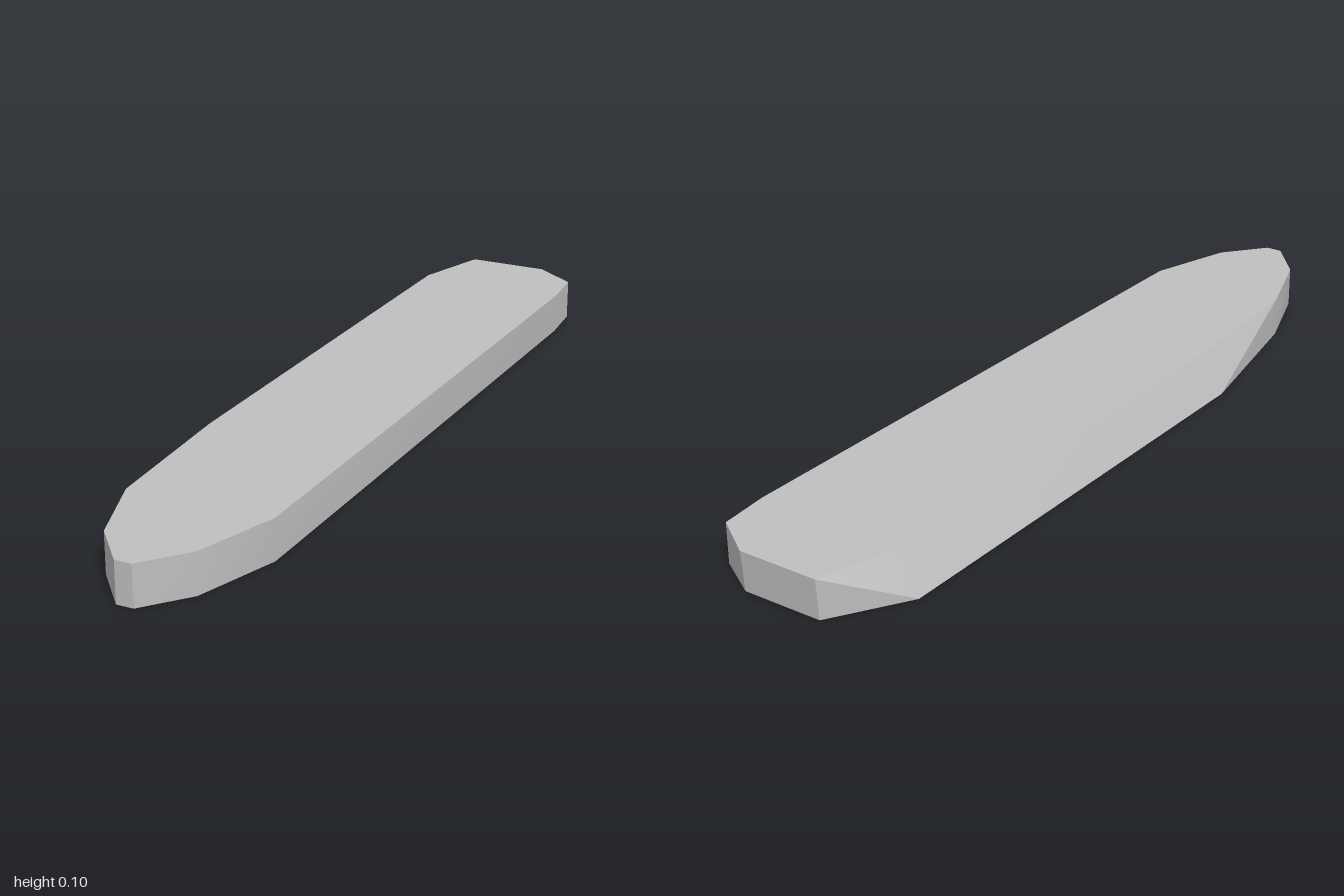
import * as THREE from 'three';
import { toCreasedNormals } from 'three/addons/utils/BufferGeometryUtils.js';

export function createModel() {
  const grey = new THREE.MeshStandardMaterial({ color: 0xbfbfbf });
  grey.name = 'plainGrey';
  const height = 0.097;

  // Plan outline as [x, z, outward flare of the foot in x]
  const outline = [
    [-0.085, -1, 0], [0.11, -1, 0], [0.212, -0.93, 0], [0.221, -0.81, 0],
    [0.187, 0.7, 0], [0.12, 0.9, 0], [0.035, 1, 0], [-0.005, 1, 0],
    [-0.09, 0.9, 0], [-0.155, 0.71, 0], [-0.17, 0.33, -0.051], [-0.145, -0.82, -0.052],
  ];
  const n = outline.length;
  const top = outline.map(([x, z]) => [x, height, z]);
  const bottom = outline.map(([x, z, flare]) => [x + flare, 0, Math.max(z, -0.993)]);

  const positions = [];
  const tri = (a, b, c) => positions.push(...a, ...b, ...c);

  // Side walls, with the last one folded along its other diagonal
  for (let i = 0; i < n; i++) {
    const j = (i + 1) % n;
    if (i === n - 1) {
      tri(bottom[i], top[i], top[j]);
      tri(bottom[i], top[j], bottom[j]);
    } else {
      tri(bottom[i], top[i], bottom[j]);
      tri(top[i], top[j], bottom[j]);
    }
  }
  // Flat deck and underside
  for (let i = 1; i < n - 1; i++) {
    tri(top[0], top[i + 1], top[i]);
    tri(bottom[0], bottom[i], bottom[i + 1]);
  }

  const geometry = new THREE.BufferGeometry();
  geometry.setAttribute('position', new THREE.Float32BufferAttribute(positions, 3));
  const slab = new THREE.Mesh(toCreasedNormals(geometry, 0.5), grey);
  slab.name = 'taperedSlab';

  const group = new THREE.Group();
  group.name = 'slabModel';
  group.add(slab);
  return group;
}
